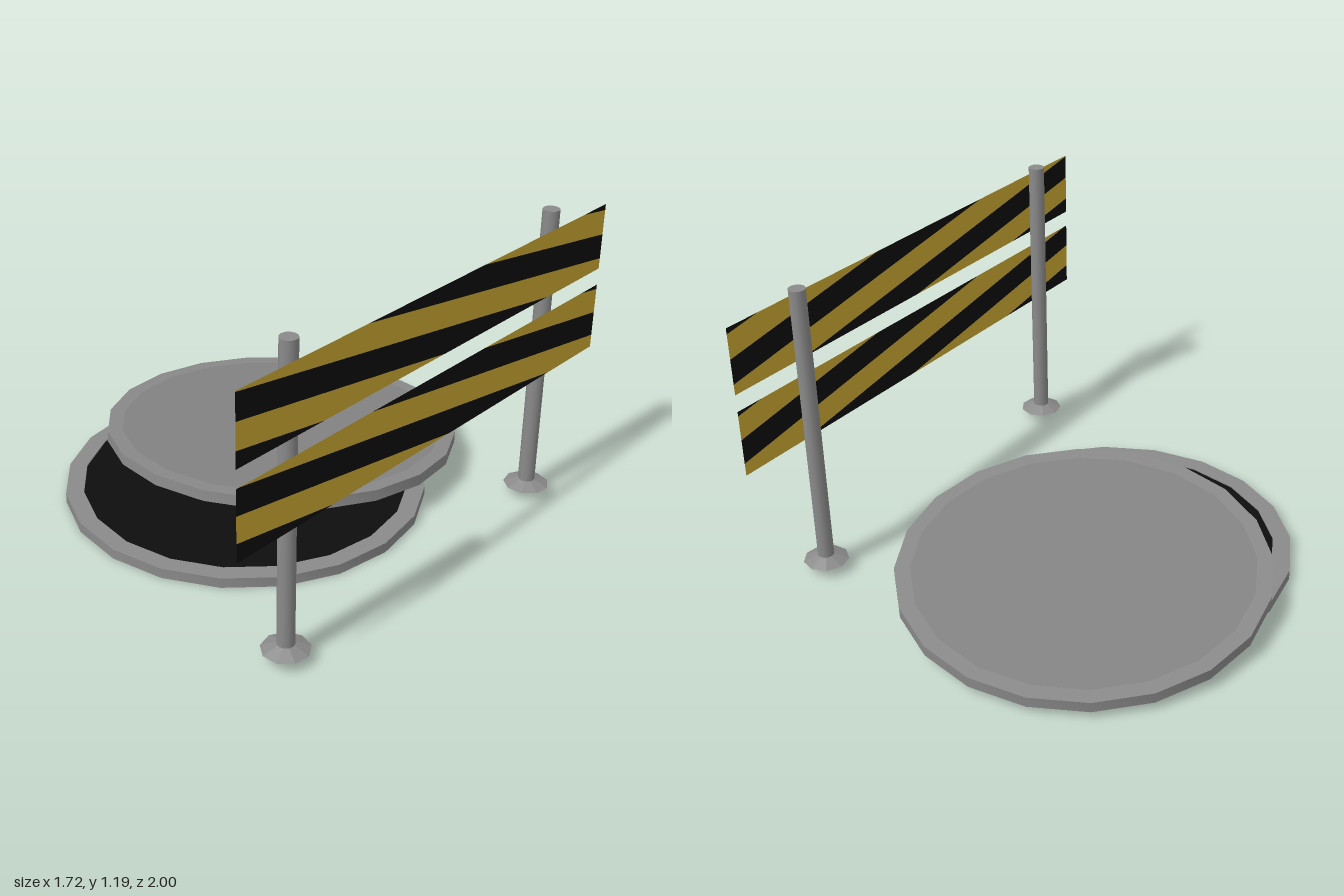
import * as THREE from 'three';
import { mergeGeometries, toCreasedNormals } from 'three/addons/utils/BufferGeometryUtils.js';

const mat = (name, color) => Object.assign(new THREE.MeshStandardMaterial({ color }), { name });

export function createModel() {
  const model = new THREE.Group();
  model.name = 'openManholeWithBarrier';

  const steel = mat('steelGrey', 0x8a8a8a);
  const panel = mat('panelGrey', 0x848484);
  const black = mat('black', 0x0d0d0d);
  const yellow = mat('warningYellow', 0xc9a933);
  for (const m of [black, yellow]) m.side = THREE.DoubleSide;

  const add = (parent, name, geometry, material, x = 0, y = 0, z = 0) => {
    const mesh = new THREE.Mesh(geometry, material);
    mesh.name = name;
    mesh.position.set(x, y, z);
    parent.add(mesh);
    return mesh;
  };

  // Flat ring with a rectangular section, centred on y = 0
  const SIDES = 20;
  const ring = (inner, outer, h) => toCreasedNormals(new THREE.LatheGeometry([
    [inner, -h / 2], [outer, -h / 2], [outer, h / 2], [inner, h / 2], [inner, -h / 2],
  ].map(([x, y]) => new THREE.Vector2(x, y)), SIDES), 0.5);
  const disc = (r, h) => new THREE.CylinderGeometry(r, r, h, SIDES);

  // Manhole frame and the dark hole in it
  const manhole = new THREE.Group();
  manhole.name = 'manhole';
  manhole.position.set(-0.08, 0.02, 0);
  add(manhole, 'frameRing', ring(0.64, 0.71, 0.04), steel);
  add(manhole, 'hole', disc(0.64, 0.03), black);
  model.add(manhole);

  // Cover leaning on the frame, hollow underneath
  const cover = new THREE.Group();
  cover.name = 'cover';
  cover.position.set(-0.152, 0.117, -0.29);
  cover.rotation.set(-0.0815, 0, 0.047);
  add(cover, 'coverRim', ring(0.65, 0.71, 0.044), steel);
  add(cover, 'coverPanel', disc(0.65, 0.012), panel, 0, 0.016, 0);
  model.add(cover);

  // Barrier posts on conical feet
  for (const [side, z] of [['front', 0.71], ['back', -0.71]]) {
    const post = new THREE.Group();
    post.name = side + 'Post';
    post.position.set(0.77, 0, z);
    add(post, 'pole', new THREE.CylinderGeometry(0.032, 0.032, 1.145, 12), steel, 0, 0.6175, 0);
    const foot = new THREE.CylinderGeometry(0.032, 0.088, 0.022, 9, 1, false, -0.3);
    add(post, 'foot', toCreasedNormals(foot, 0), steel, 0, 0.051, 0);
    model.add(post);
  }

  // Keep the part of a polygon where f >= 0
  const clip = (points, f) => points.flatMap((p, i) => {
    const q = points[(i + 1) % points.length];
    const a = f(p), b = f(q);
    const out = a >= 0 ? [p] : [];
    if (a * b < 0) out.push(p.clone().lerp(q, a / (a - b)));
    return out;
  });

  // Striped boards: each is cut into slanted bands of alternating colour
  const SLANT = 6.41, BAND = 0.624;
  const board = (name, bottom, top, shift) => {
    const group = new THREE.Group();
    group.name = name;
    group.position.x = 0.825;
    group.rotation.y = Math.PI / 2;
    const corners = [[-1, bottom], [1, bottom], [1, top], [-1, top]].map(([x, y]) => new THREE.Vector2(x, y));
    const along = (p) => p.x - SLANT * (top - p.y);
    const bands = [[], []];
    for (let i = -5; i <= 3; i++) {
      const start = -0.397 + shift + i * BAND;
      let poly = clip(corners, (p) => along(p) - start);
      poly = clip(poly, (p) => start + BAND - along(p));
      if (poly.length > 2) bands[Math.abs(i) % 2].push(new THREE.ShapeGeometry(new THREE.Shape(poly)));
    }
    add(group, 'blackStripes', mergeGeometries(bands[0]), black);
    add(group, 'yellowStripes', mergeGeometries(bands[1]), yellow);
    model.add(group);
  };
  board('upperBoard', 0.88, 1.14, 0);
  board('lowerBoard', 0.55, 0.813, 0.035);

  return model;
}
